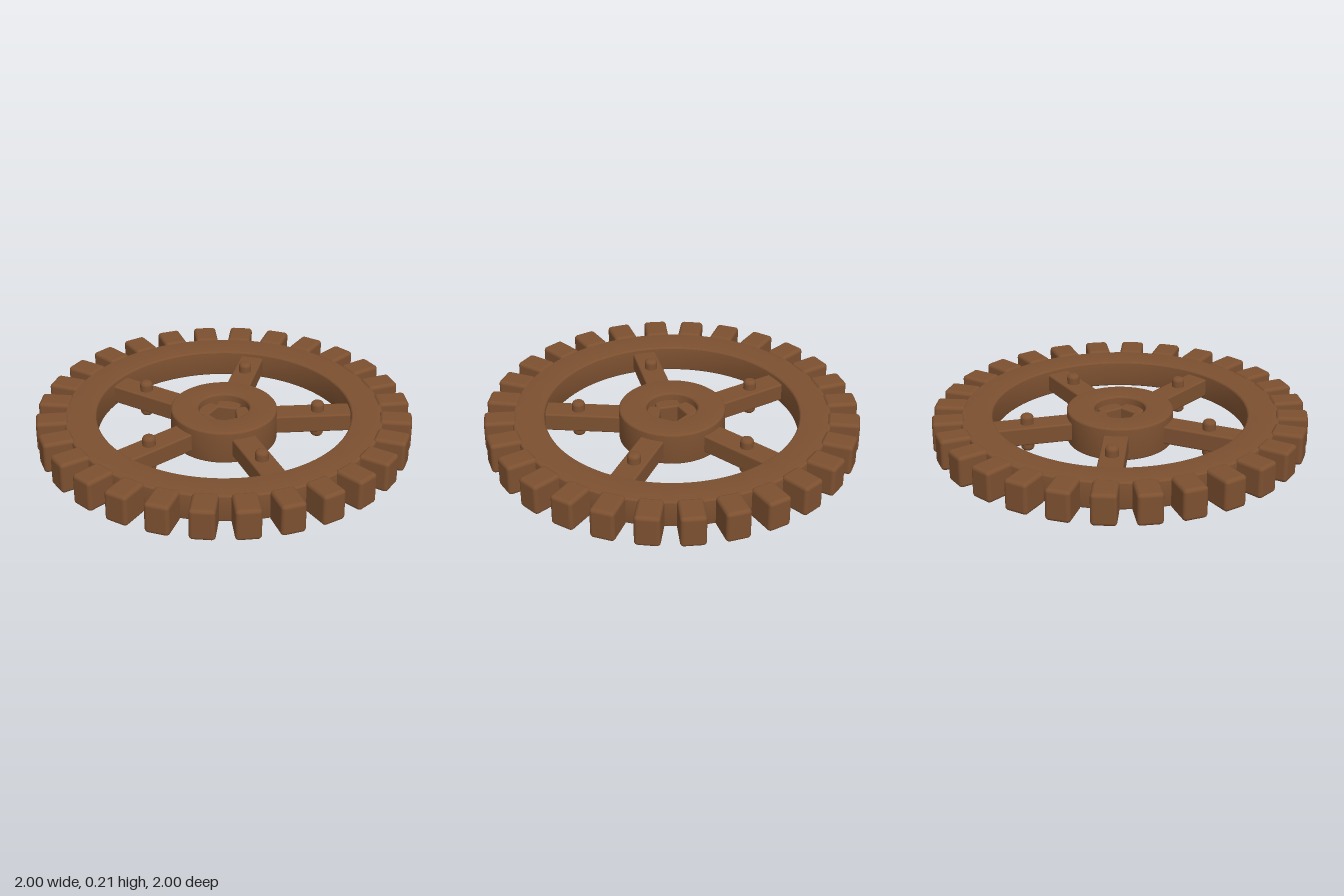
import * as THREE from 'three';
import { toCreasedNormals } from 'three/addons/utils/BufferGeometryUtils.js';
import { RoundedBoxGeometry } from 'three/addons/geometries/RoundedBoxGeometry.js';

const MID = 0.103; // height of the wheel's middle plane
const TEETH = 28;
const SPOKES = 5;
const SPOKE_ANGLE = THREE.MathUtils.degToRad(10.3);

// Ring with a rounded rectangular section, centred on y = 0
function ringGeometry(inner, outer, height, bevel) {
  const points = [];
  const h = height / 2 - bevel;
  const corners = [
    [outer - bevel, -h, -Math.PI / 2],
    [outer - bevel, h, 0],
    [inner + bevel, h, Math.PI / 2],
    [inner + bevel, -h, Math.PI],
  ];
  for (const [r, y, start] of corners) {
    for (let i = 0; i <= 4; i++) {
      const a = start + (i / 4) * Math.PI / 2;
      points.push(new THREE.Vector2(r + bevel * Math.cos(a), y + bevel * Math.sin(a)));
    }
  }
  points.push(points[0].clone());
  return toCreasedNormals(new THREE.LatheGeometry(points, 112), 0.3);
}

// Peg running through a spoke, with rounded heads at both ends
function pegGeometry(radius, height, bevel) {
  const h = height / 2;
  const points = [new THREE.Vector2(0, -h)];
  for (const [y, start] of [[-h + bevel, -Math.PI / 2], [h - bevel, 0]]) {
    for (let i = 0; i <= 5; i++) {
      const a = start + (i / 5) * Math.PI / 2;
      points.push(new THREE.Vector2(radius - bevel + bevel * Math.cos(a), y + bevel * Math.sin(a)));
    }
  }
  points.push(new THREE.Vector2(0, h));
  return new THREE.LatheGeometry(points, 24);
}

export function createModel() {
  const model = new THREE.Group();
  model.name = 'gearWheel';
  const wood = new THREE.MeshStandardMaterial({ color: 0x7c5030 });
  wood.name = 'brownWood';

  function add(name, geometry, parent, x = 0) {
    const mesh = new THREE.Mesh(geometry, wood);
    mesh.name = name;
    mesh.position.x = x;
    parent.add(mesh);
    return mesh;
  }

  const wheel = new THREE.Group();
  wheel.name = 'wheel';
  wheel.position.y = MID;
  model.add(wheel);

  // Rim and hub
  add('rim', ringGeometry(0.68, 0.85, 0.15, 0.014), wheel);
  add('hub', ringGeometry(0.135, 0.285, 0.184, 0.014), wheel);

  // Teeth around the rim
  const toothGeometry = new RoundedBoxGeometry(0.17, 0.17, 0.13, 4, 0.02);
  for (let i = 0; i < TEETH; i++) {
    const tooth = new THREE.Group();
    tooth.name = 'tooth';
    tooth.rotation.y = (i / TEETH) * Math.PI * 2;
    add('toothBlock', toothGeometry, tooth, 0.915);
    wheel.add(tooth);
  }

  // Spokes reach through the hub into its bore; each carries a peg
  const spokeGeometry = new RoundedBoxGeometry(0.66, 0.1, 0.132, 3, 0.01);
  const peg = pegGeometry(0.035, MID * 2, 0.022);
  for (let i = 0; i < SPOKES; i++) {
    const spoke = new THREE.Group();
    spoke.name = 'spoke';
    spoke.rotation.y = SPOKE_ANGLE + (i / SPOKES) * Math.PI * 2;
    add('spokeBeam', spokeGeometry, spoke, 0.395);
    add('spokePeg', peg, spoke, 0.505);
    wheel.add(spoke);
  }

  return model;
}
